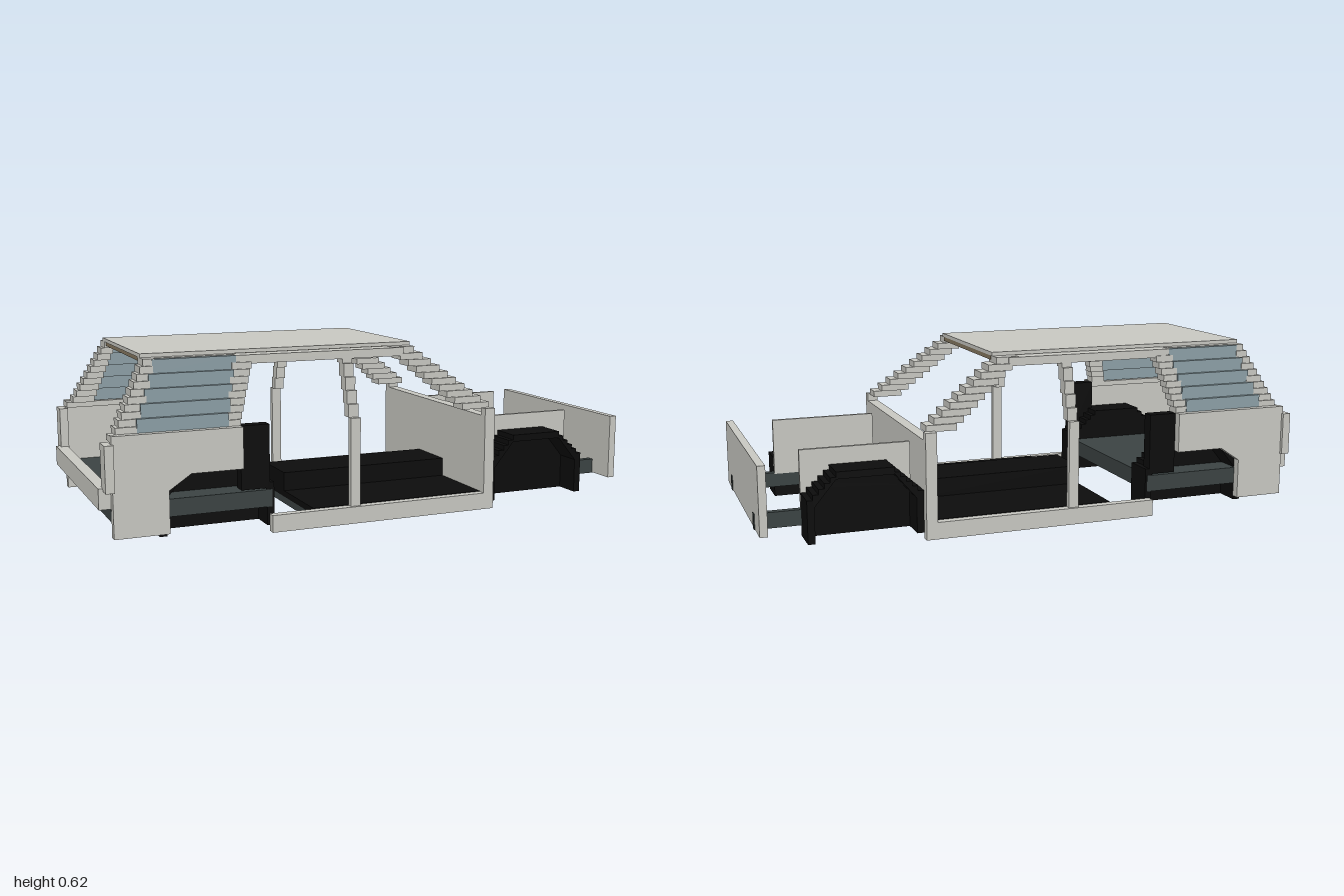
import * as THREE from 'three';

const mat = (name, color) => {
  const m = new THREE.MeshStandardMaterial({ color });
  m.name = name;
  return m;
};

export function createModel() {
  const car = new THREE.Group();
  car.name = 'carBodyShell';
  const paint = mat('paleGreyPaint', 0xc8c8c2);
  const black = mat('blackLiner', 0x0c0c0c);
  const steel = mat('darkSteel', 0x3b4343);
  const glass = mat('blueGreyGlass', 0x8c9fa6);
  const lining = mat('tanLining', 0x857860);

  // Box given by its minimum and maximum on each axis
  const box = (name, m, x0, x1, y0, y1, z0, z1, parent = car) => {
    const mesh = new THREE.Mesh(new THREE.BoxGeometry(x1 - x0, y1 - y0, z1 - z0), m);
    mesh.position.set((x0 + x1) / 2, (y0 + y1) / 2, (z0 + z1) / 2);
    mesh.name = name;
    parent.add(mesh);
  };
  // The same box on both sides of the car
  const pair = (name, m, x0, x1, y0, y1, z0, z1) => {
    box(name + 'Left', m, x0, x1, y0, y1, z0, z1);
    box(name + 'Right', m, x0, x1, y0, y1, -z1, -z0);
  };
  // Side profile extruded in z, on both sides
  const plates = (name, m, points, z0, z1) => {
    const shape = new THREE.Shape(points.map(([x, y]) => new THREE.Vector2(x, y)));
    const geo = new THREE.ExtrudeGeometry(shape, { depth: z1 - z0, bevelEnabled: false });
    [z0, -z1].forEach((z, i) => {
      const mesh = new THREE.Mesh(geo, m);
      mesh.position.z = z;
      mesh.name = name + (i ? 'Right' : 'Left');
      car.add(mesh);
    });
  };
  // Leaning pillar made of stacked blocks; a and b are [x0, x1, z0, z1] at bottom and top
  const stack = (name, m, n, y0, y1, a, b) => {
    const h = (y1 - y0) / n;
    for (let i = 0; i < n; i++) {
      const t = i / (n - 1);
      const [x0, x1, z0, z1] = a.map((v, k) => v + (b[k] - v) * t);
      pair(name + (i + 1), m, x0, x1, y0 + i * h, y0 + (i + 1) * h, z0, z1);
    }
  };

  // Floors
  box('cabinFloorPan', steel, -0.26, 0.43, 0.015, 0.04, -0.385, 0.385);
  box('cabinCarpet', black, -0.26, 0.4, 0.04, 0.062, -0.385, 0.385);
  box('centreTunnel', black, -0.26, 0.4, 0.06, 0.13, -0.1, 0.1);
  box('rearFloor', steel, -0.96, -0.41, 0.085, 0.145, -0.384, 0.384);
  pair('rearFloorEdge', steel, -0.775, -0.41, 0.085, 0.145, 0.38, 0.387);

  // Sills, front posts and bulkhead
  pair('sill', paint, -0.42, 0.44, 0, 0.06, 0.385, 0.415);
  pair('frontPost', paint, 0.4, 0.44, 0.06, 0.373, 0.385, 0.415);
  box('bulkhead', paint, 0.4, 0.44, 0.06, 0.345, -0.385, 0.385);

  // Nose: rails, inner wings and front panel
  pair('frontRail', steel, 0.44, 1, 0.06, 0.115, 0.258, 0.284);
  pair('innerWing', paint, 0.455, 0.84, 0.11, 0.318, 0.258, 0.272);
  box('frontPanel', paint, 0.97, 0.997, 0.062, 0.302, -0.387, 0.387);

  // Hollow stepped wheel arches with an inner wall
  const arch = (name, x0) => {
    const steps = 5, w = 0.4, run = 0.02, rise = 0.018, low = 0.17, skin = 0.025;
    const left = [];
    for (let i = 0; i <= steps; i++) {
      const x = i * run, y = low + i * rise;
      if (i) left.push([x, y - rise]);
      left.push([x, y]);
    }
    const right = left.map(([x, y]) => [w - x, y]).reverse();
    const outer = [[0, 0.02], ...left, ...right, [w, 0.02]];
    const place = (p) => p.map(([x, y]) => [x0 + x, y]);
    const tunnel = [[w - skin, 0.02], [w - skin, low - skin], [w - 0.1, 0.235],
      [0.1, 0.235], [skin, low - skin], [skin, 0.02]];
    plates(name + 'Wall', black, place(outer), 0.272, 0.292);
    plates(name + 'Hoop', black, place([...outer, ...tunnel]), 0.292, 0.385);
  };
  arch('frontArch', 0.44);
  arch('rearArch', -0.803);

  // Rear quarters
  plates('quarterPanel', paint, [[-0.96, 0.035], [-0.775, 0.035], [-0.775, 0.18],
    [-0.7, 0.23], [-0.52, 0.23], [-0.52, 0.372], [-0.96, 0.372]], 0.385, 0.415);
  pair('doorShutPanel', black, -0.52, -0.418, 0.15, 0.37, 0.34, 0.385);
  pair('quarterShelf', paint, -0.96, -0.52, 0.35, 0.37, 0.345, 0.39);
  pair('tailCorner', paint, -0.985, -0.955, 0.19, 0.345, 0.36, 0.427);
  box('tailPanel', paint, -1, -0.96, 0.13, 0.2, -0.385, 0.385);

  // Stepped pillars and rear side glass
  stack('windscreenPillar', paint, 10, 0.37, 0.602,
    [0.32, 0.43, 0.32, 0.388], [0.07, 0.155, 0.25, 0.325]);
  pair('doorPillarLower', paint, -0.127, -0.09, 0.06, 0.372, 0.385, 0.405);
  stack('doorPillarUpper', paint, 5, 0.372, 0.6,
    [-0.127, -0.09, 0.35, 0.385], [-0.127, -0.09, 0.285, 0.33]);
  stack('rearDoorPillar', paint, 10, 0.37, 0.6,
    [-0.575, -0.52, 0.34, 0.388], [-0.525, -0.455, 0.28, 0.328]);
  stack('sideGlass', glass, 5, 0.372, 0.6,
    [-0.87, -0.562, 0.352, 0.39], [-0.8, -0.515, 0.292, 0.332]);
  stack('tailgatePillar', paint, 10, 0.37, 0.602,
    [-0.94, -0.86, 0.325, 0.388], [-0.83, -0.79, 0.255, 0.328]);

  // Roof
  pair('roofRail', paint, -0.515, 0.11, 0.57, 0.6, 0.27, 0.33);
  pair('rearRoofRail', paint, -0.82, -0.515, 0.588, 0.602, 0.27, 0.315);
  box('roofPanel', paint, -0.83, 0.157, 0.602, 0.615, -0.285, 0.285);
  box('roofLining', lining, -0.825, 0.157, 0.587, 0.602, -0.27, 0.27);

  return car;
}
